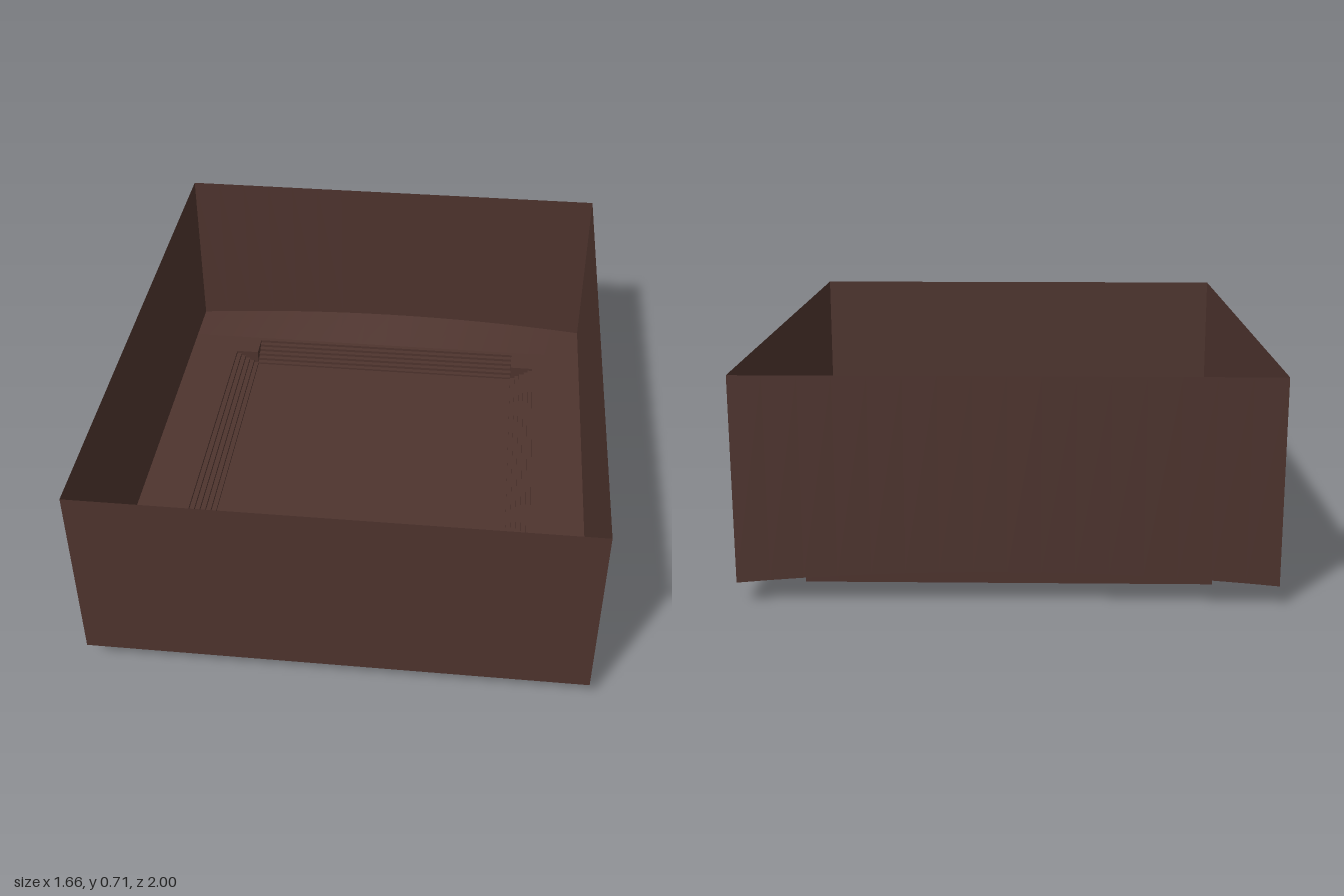
import * as THREE from 'three';

const W = 0.83, D = 1, FLOOR = 0.065, TOP = 0.715;
const STRIP = -0.82;            // where the raised rear strip of the floor begins
const IN_X = 0.545, IN_Z = 0.678; // half size of the sunken floor
const OUT_X = 0.65, OUT_Z = 0.78; // half size of the base block
const STEPS = 5, TREAD = 0.018;

export function createModel() {
  const brown = new THREE.MeshStandardMaterial({ color: 0x4e342e, side: THREE.DoubleSide });
  brown.name = 'dark brown';
  const model = new THREE.Group();
  model.name = 'steppedTray';

  const add = (name, geometry, parent = model) => {
    const mesh = new THREE.Mesh(geometry, brown);
    mesh.name = name;
    parent.add(mesh);
    return mesh;
  };
  const box = (name, x0, x1, y1, z0, z1, parent) => {
    const g = new THREE.BoxGeometry(x1 - x0, y1, z1 - z0);
    g.translate((x0 + x1) / 2, y1 / 2, (z0 + z1) / 2);
    return add(name, g, parent);
  };
  // gentle arch of the rear bottom edge
  const arch = (x) => 0.04 * (1 - (x / W) ** 2);

  // thin upright walls
  const h = TOP - FLOOR, mid = (TOP + FLOOR) / 2;
  add('frontWall', new THREE.PlaneGeometry(2 * W, h)).position.set(0, mid, D);
  for (const s of [1, -1]) {
    const wall = add(s > 0 ? 'leftWall' : 'rightWall', new THREE.PlaneGeometry(2 * D, h));
    wall.rotation.y = s * Math.PI / 2;
    wall.position.set(s * W, mid, 0);
  }
  const back = new THREE.PlaneGeometry(2 * W, h, 16, 1).rotateY(Math.PI).translate(0, mid, -D);
  const bp = back.attributes.position;
  for (let i = 0; i < bp.count; i++) {
    if (bp.getY(i) < mid) bp.setY(i, FLOOR + arch(bp.getX(i)));
  }
  add('backWall', back);

  // floor with an opening for the sunken part
  const rect = (path, x, z0, z1) => path.moveTo(-x, -z0).lineTo(x, -z0).lineTo(x, -z1).lineTo(-x, -z1).closePath();
  const shape = rect(new THREE.Shape(), W, D, STRIP);
  const offset = -0.035;
  const rim = STEPS * TREAD;
  shape.holes.push(rect(new THREE.Path(), IN_X + rim, offset + IN_Z + rim, offset - IN_Z - rim));
  add('floor', new THREE.ShapeGeometry(shape).rotateX(-Math.PI / 2).translate(0, FLOOR, 0));

  // rear strip of the floor, rising to the arched edge
  const strip = new THREE.PlaneGeometry(2 * W, D + STRIP, 16, 1)
    .rotateX(-Math.PI / 2).translate(0, FLOOR, (STRIP - D) / 2);
  const sp = strip.attributes.position;
  for (let i = 0; i < sp.count; i++) {
    if (sp.getZ(i) < -0.95) sp.setY(i, FLOOR + arch(sp.getX(i)));
  }
  strip.computeVertexNormals();
  add('rearFloorStrip', strip);

  // sunken base with a flight of steps on every side
  const base = new THREE.Group();
  base.name = 'sunkenBase';
  base.position.z = offset;
  model.add(base);
  box('sunkenFloor', -IN_X, IN_X, 0.003, -IN_Z, IN_Z, base);
  for (const s of [1, -1]) {
    for (let i = 0; i <= STEPS; i++) {
      const y = i === STEPS ? FLOOR - 0.0005 : (i + 1) * FLOOR / (STEPS + 1);
      const a = i * TREAD;
      const span = (inner, outer) => {
        const p = inner + a, q = i === STEPS ? outer : p + TREAD;
        return s > 0 ? [p, q] : [-q, -p];
      };
      const [x0, x1] = span(IN_X, OUT_X), [z0, z1] = span(IN_Z, OUT_Z);
      box('sideStep', x0, x1, y, -IN_Z, IN_Z, base);
      box('endStep', -IN_X, IN_X, y, z0, z1, base);
    }
    // corner blocks level with the floor
    for (const t of [1, -1]) {
      const block = box('cornerBlock', 0, OUT_X - IN_X, FLOOR - 0.0005, 0, OUT_Z - IN_Z, base);
      block.position.set(s > 0 ? IN_X : -OUT_X, 0, t > 0 ? IN_Z : -OUT_Z);
    }
  }
  return model;
}
